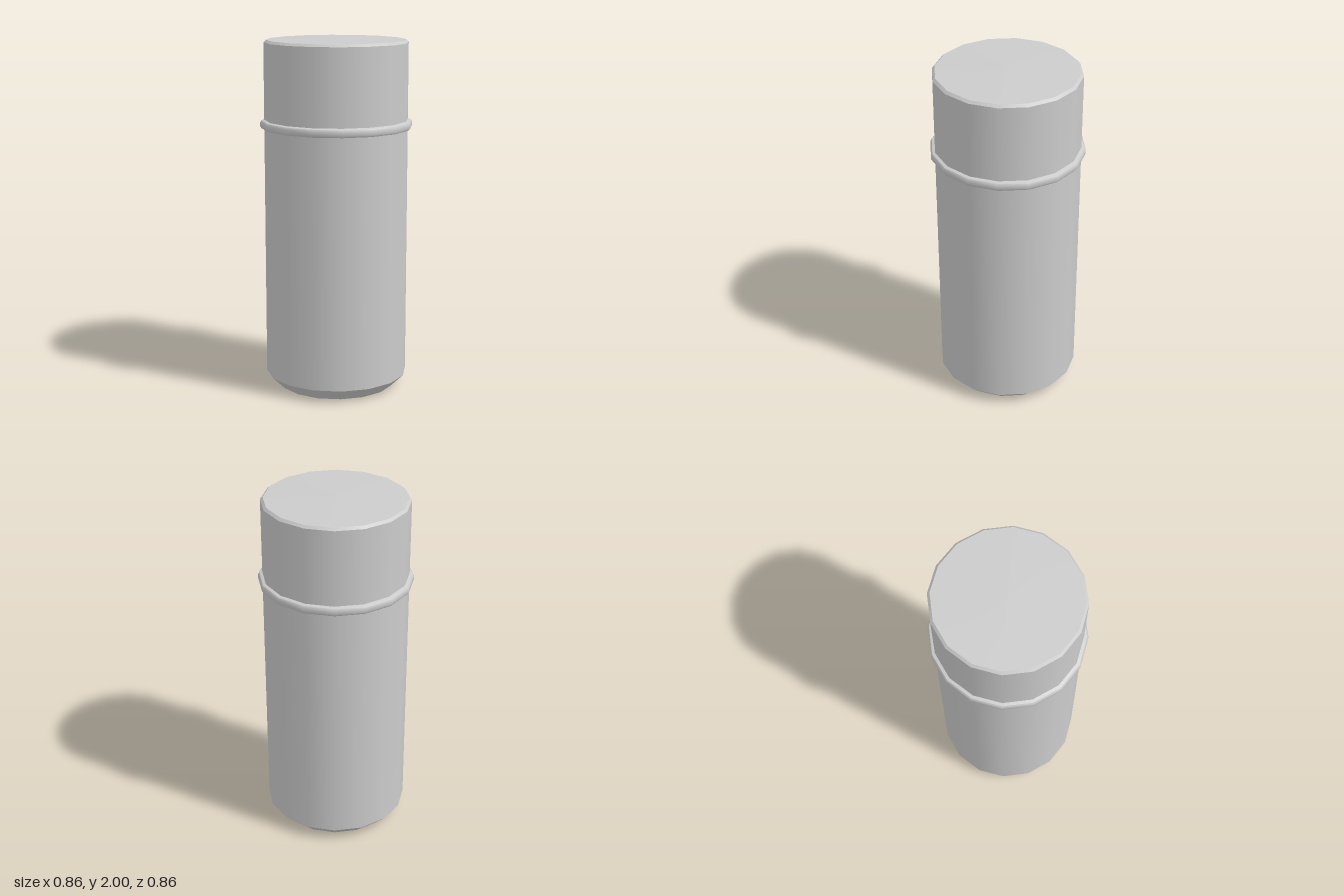
import * as THREE from 'three';

const SIDES = 16;
const material = new THREE.MeshStandardMaterial({ color: 0xcccccc });

// One smooth band of the turned shape; the profile runs from bottom to top
function band(name, ...profile) {
  const points = profile.map(([r, y]) => new THREE.Vector2(r, y));
  const mesh = new THREE.Mesh(new THREE.LatheGeometry(points, SIDES), material);
  mesh.name = name;
  return mesh;
}

export function createModel() {
  const model = new THREE.Group();
  model.name = 'canister';

  // Body: separate bands keep the edges between them sharp
  const body = new THREE.Group();
  body.name = 'body';
  body.add(
    band('base', [0, 0], [0.332, 0]),
    band('baseChamfer', [0.332, 0], [0.406, 0.072]),
    band('wall', [0.406, 0.072], [0.406, 1.976]),
    band('topBevel', [0.406, 1.976], [0.392, 1.99]),
    band('domedTop', [0.392, 1.99], [0, 2])
  );

  // Raised ring under the lid section, with softened edges
  const ring = new THREE.Group();
  ring.name = 'ring';
  ring.add(
    band('ringUnderside', [0.404, 1.497], [0.422, 1.497]),
    band('ringRim', [0.422, 1.497], [0.43, 1.508], [0.43, 1.53], [0.422, 1.54]),
    band('ringTop', [0.422, 1.54], [0.404, 1.546])
  );

  model.add(body, ring);
  return model;
}
